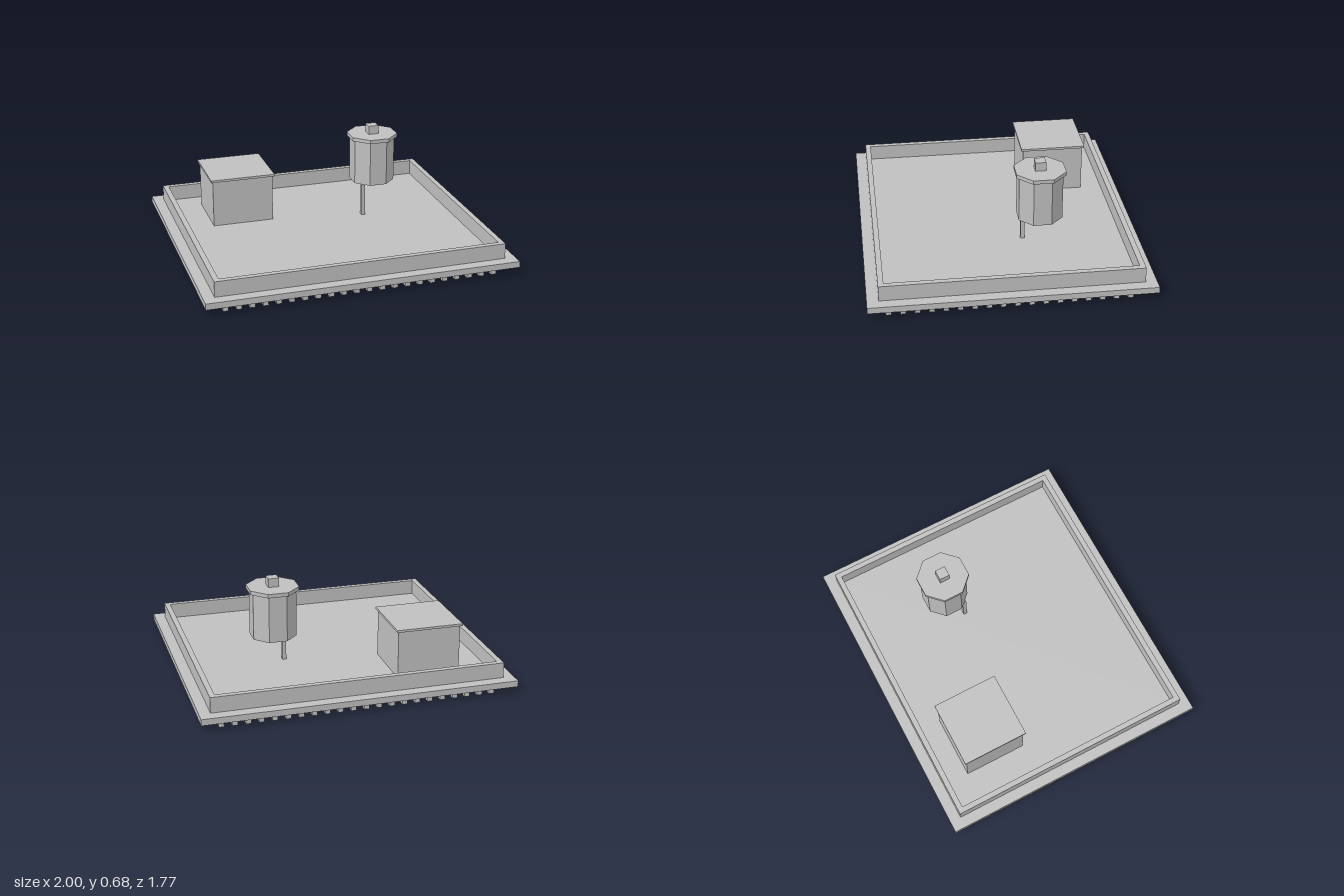
import * as THREE from 'three';

export function createModel() {
  const model = new THREE.Group();
  model.name = 'rooftop';
  const grey = new THREE.MeshStandardMaterial({ color: 0xc0c0c0, flatShading: true });
  grey.name = 'concrete grey';

  function add(name, geometry, x, y, z, parent = model) {
    const mesh = new THREE.Mesh(geometry, grey);
    mesh.name = name;
    mesh.position.set(x, y, z);
    parent.add(mesh);
    return mesh;
  }
  // Box given by centre x/z, bottom and top heights
  const box = (name, x, z, w, d, y0, y1, parent) =>
    add(name, new THREE.BoxGeometry(w, y1 - y0, d), x, (y0 + y1) / 2, z, parent);

  // Rectangular ring standing between two heights
  function ring(name, ox, oz, ix, iz, y0, y1) {
    const rect = (path, a, b) => path.moveTo(-a, -b).lineTo(a, -b).lineTo(a, b).lineTo(-a, b).closePath();
    const shape = rect(new THREE.Shape(), ox, oz);
    shape.holes.push(rect(new THREE.Path(), ix, iz));
    const geometry = new THREE.ExtrudeGeometry(shape, { depth: y1 - y0, bevelEnabled: false });
    geometry.rotateX(-Math.PI / 2);
    add(name, geometry, 0, y0, 0);
  }
  ring('cornice', 1, 0.885, 0.895, 0.778, 0.04, 0.08);
  ring('parapet', 0.93, 0.813, 0.895, 0.778, 0.08, 0.18);
  box('roofFloor', 0, 0, 1.79, 1.556, 0.075, 0.08);

  // Dentils under the cornice, spaced the same way round all four sides
  const dentils = new THREE.Group();
  dentils.name = 'dentils';
  model.add(dentils);
  const dentil = (x, z) => box('dentil', x, z, 0.033, 0.033, 0, 0.04, dentils);
  for (const s of [1, -1]) {
    for (let i = 0; i < 22; i++) dentil(s * (-0.874 + i * 0.0815), s * 0.836);
    for (let i = 0; i < 18; i++) dentil(s * 0.953, s * (0.758 - i * 0.0866));
  }

  // Stair house
  box('stairHouse', -0.495, -0.438, 0.405, 0.405, 0.08, 0.39);
  box('stairHouseRoof', -0.495, -0.438, 0.43, 0.43, 0.39, 0.405);

  // Octagonal water tank on its post
  const tx = 0.405, tz = -0.235;
  function octagon(name, acrossFlats, y0, y1) {
    const r = acrossFlats / 2 / Math.cos(Math.PI / 8);
    const geometry = new THREE.CylinderGeometry(r, r, y1 - y0, 8).rotateY(Math.PI / 8);
    add(name, geometry, tx, (y0 + y1) / 2, tz);
  }
  octagon('tank', 0.277, 0.297, 0.6);
  octagon('tankLid', 0.312, 0.6, 0.625);
  box('tankHatch', tx, tz, 0.068, 0.068, 0.625, 0.682);
  box('tankPost', 0.313, -0.142, 0.025, 0.025, 0.08, 0.297);

  return model;
}
